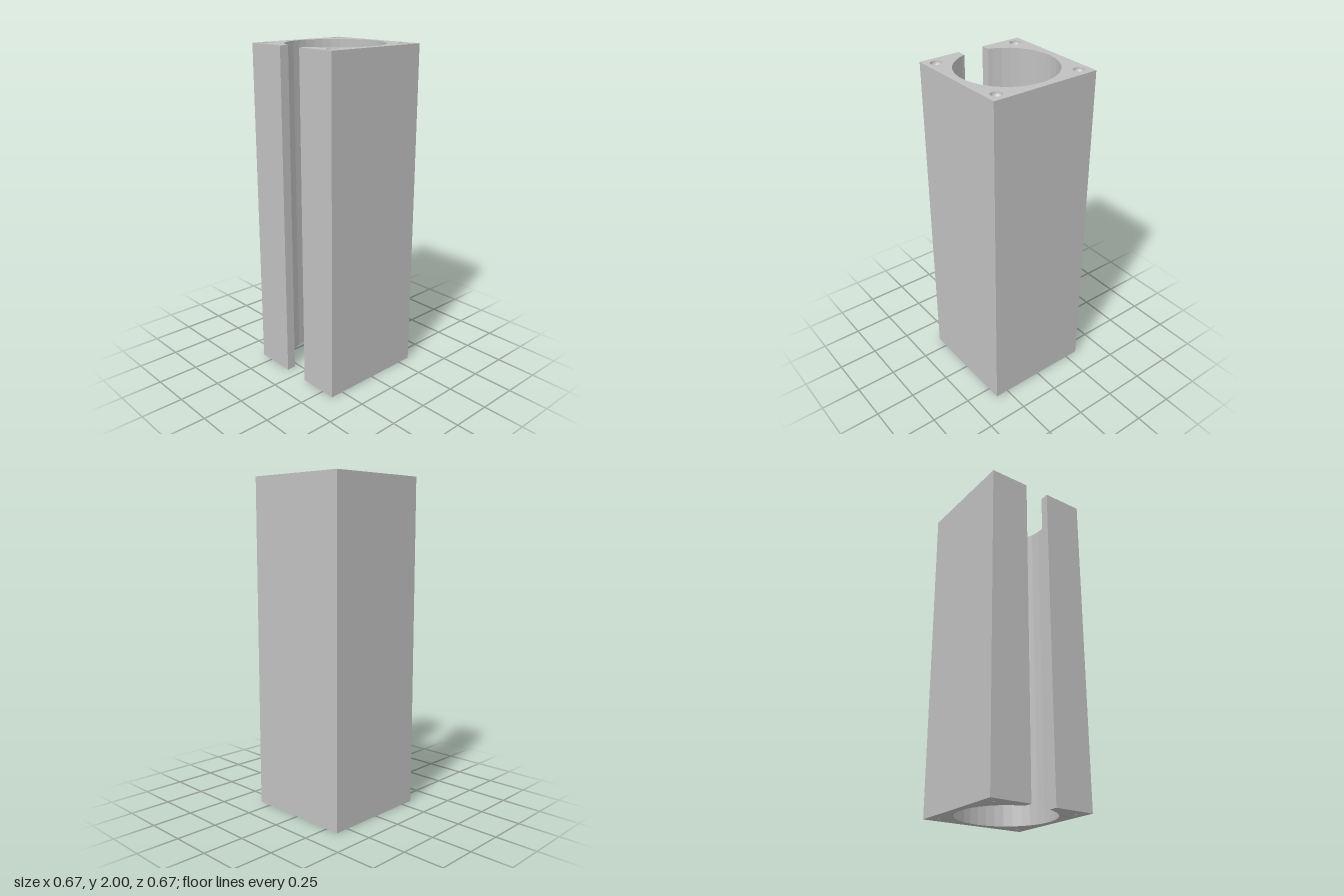
import * as THREE from 'three';

const HALF = 0.333, HEIGHT = 2, BORE = 0.289, SLOT = 0.081, SEGMENTS = 34, INSET = 0.269;

// C-shaped cross-section: square with a round bore, open through a slot on -x
function outlinePoints() {
  const pts = [[-HALF, -HALF], [HALF, -HALF], [HALF, HALF], [-HALF, HALF], [-HALF, SLOT]];
  const lip = -Math.sqrt(BORE * BORE - SLOT * SLOT);
  pts.push([lip, SLOT]);
  for (let k = 15; k >= -15; k--) {
    const a = (k * 2 * Math.PI) / SEGMENTS;
    pts.push([BORE * Math.cos(a), BORE * Math.sin(a)]);
  }
  pts.push([lip, -SLOT], [-HALF, -SLOT]);
  return pts.map(([x, y]) => new THREE.Vector2(x, y));
}

const corners = [[1, 1], [1, -1], [-1, 1], [-1, -1]].map(([x, z]) => [x * INSET, z * INSET]);

// End face with a round opening in each corner
function endFace(outline, holeRadius) {
  const shape = new THREE.Shape(outline);
  for (const [x, y] of corners) {
    const hole = new THREE.Path();
    hole.absarc(x, y, holeRadius, 0, Math.PI * 2, true);
    shape.holes.push(hole);
  }
  return new THREE.ShapeGeometry(shape, 16);
}

// Vertical faces along the outline
function wallGeometry(outline) {
  const pos = [];
  outline.forEach((a, i) => {
    const b = outline[(i + 1) % outline.length];
    const a0 = [a.x, 0, -a.y], b0 = [b.x, 0, -b.y];
    const a1 = [a.x, HEIGHT, -a.y], b1 = [b.x, HEIGHT, -b.y];
    pos.push(...a0, ...b0, ...b1, ...a0, ...b1, ...a1);
  });
  const g = new THREE.BufferGeometry();
  g.setAttribute('position', new THREE.Float32BufferAttribute(pos, 3));
  g.computeVertexNormals();
  return g;
}

// Bowl recessed below y = 0, seen from above
function bowlGeometry(radius, depth) {
  const profile = [];
  for (let i = 0; i <= 10; i++) {
    const a = (i / 10) * Math.PI / 2;
    profile.push(new THREE.Vector2(i === 10 ? 0 : radius * Math.cos(a), -depth * Math.sin(a)));
  }
  return new THREE.LatheGeometry(profile, 32);
}

export function createModel() {
  const group = new THREE.Group();
  group.name = 'slottedHousing';
  const grey = new THREE.MeshStandardMaterial({ color: 0xc0c0c0, side: THREE.DoubleSide });
  grey.name = 'grey';
  const add = (geometry, name) => {
    const mesh = new THREE.Mesh(geometry, grey);
    mesh.name = name;
    group.add(mesh);
    return mesh;
  };

  const outline = outlinePoints();
  add(wallGeometry(outline), 'walls');
  add(endFace(outline, 0.033).rotateX(-Math.PI / 2), 'topFace').position.y = HEIGHT;
  add(endFace(outline, 0.008).rotateX(Math.PI / 2), 'bottomFace');

  // Round sockets on top, small ones underneath
  for (const [x, z] of corners) {
    add(bowlGeometry(0.033, 0.033), 'topSocket').position.set(x, HEIGHT, z);
    add(bowlGeometry(0.008, 0.008).rotateX(Math.PI), 'bottomSocket').position.set(x, 0, z);
  }
  return group;
}
